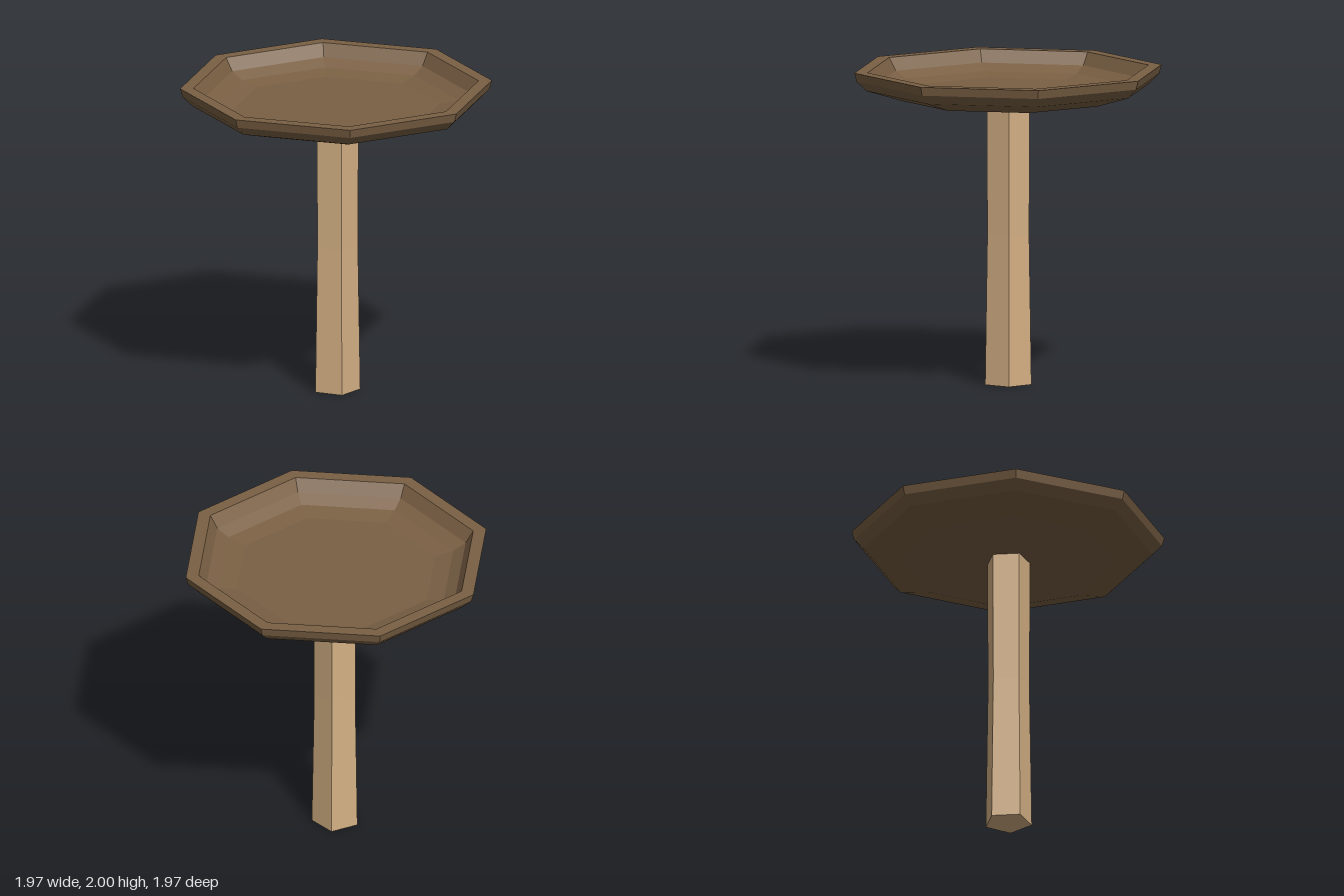
import * as THREE from 'three';

// Faceted solid of revolution from [radius, height] pairs, listed bottom to top on the outside
function facetedLathe(name, profile, sides, start, color) {
  const points = profile.map(([r, y]) => new THREE.Vector2(r, y));
  const mesh = new THREE.Mesh(
    new THREE.LatheGeometry(points, sides, start),
    new THREE.MeshStandardMaterial({ color, flatShading: true })
  );
  mesh.name = name;
  return mesh;
}

export function createModel() {
  const model = new THREE.Group();
  model.name = 'birdBath';

  // Five-sided post, flat face to the front, slightly waisted
  model.add(facetedLathe('post', [
    [0, 0], [0.153, 0], [0.138, 0.95], [0.142, 1.83], [0, 1.83],
  ], 5, Math.PI, 0xd4b084));

  // Eight-sided hollow dish: underside, rim, then the inner bowl
  model.add(facetedLathe('dish', [
    [0, 1.815], [0.68, 1.815], [0.91, 1.885], [0.97, 1.945], [0.985, 2],
    [0.9, 2], [0.85, 1.92], [0.77, 1.877], [0.65, 1.853], [0, 1.853],
  ], 8, 0, 0x7a6044));

  return model;
}
